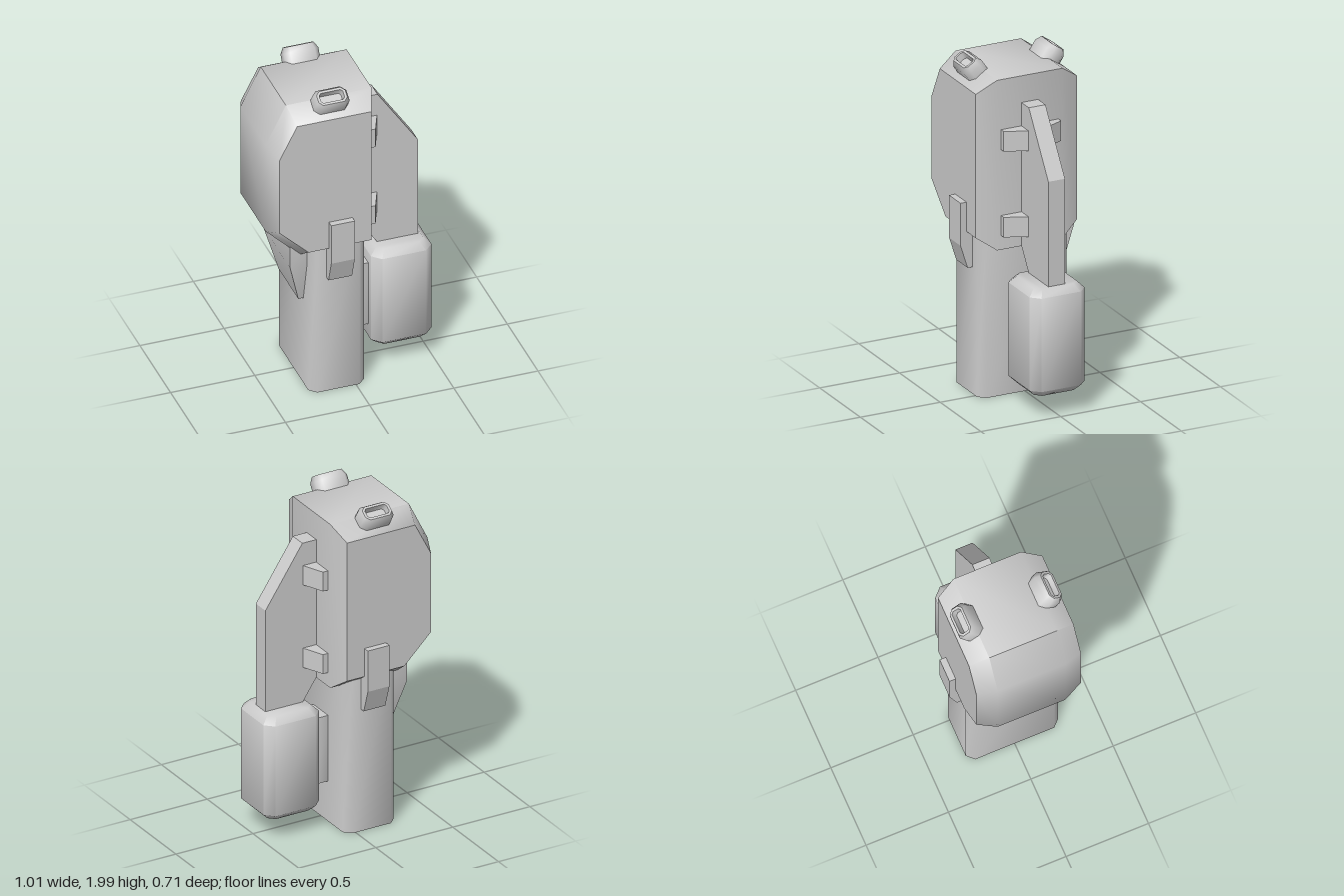
import * as THREE from 'three';
import { toCreasedNormals } from 'three/addons/utils/BufferGeometryUtils.js';

const material = new THREE.MeshStandardMaterial({ color: 0xcccccc });

// Skin between equal-sized counter-clockwise sections [[x, y], ...] at rising depths, with both ends capped
function loft(sections) {
  const pos = [];
  const n = sections[0].pts.length;
  const put = (k, i) => { const p = sections[k].pts[i % n]; pos.push(p[0], p[1], sections[k].at); };
  for (let k = 0; k < sections.length - 1; k++) {
    for (let i = 0; i < n; i++) {
      put(k, i); put(k, i + 1); put(k + 1, i + 1);
      put(k, i); put(k + 1, i + 1); put(k + 1, i);
    }
  }
  const last = sections.length - 1;
  for (let i = 1; i < n - 1; i++) {
    put(0, 0); put(0, i + 1); put(0, i);
    put(last, 0); put(last, i); put(last, i + 1);
  }
  const g = new THREE.BufferGeometry();
  g.setAttribute('position', new THREE.Float32BufferAttribute(pos, 3));
  return toCreasedNormals(g, 0.95);
}

// Rectangle with cut corners
function octagon(w, d, c) {
  const x = w / 2, y = d / 2;
  return [[x, -y + c], [x, y - c], [x - c, y], [-x + c, y], [-x, y - c], [-x, -y + c], [-x + c, -y], [x - c, -y]];
}

// Upright loft of octagons: rows are [height, width, depth, corner]
function tower(rows) {
  return loft(rows.map(([at, w, d, c]) => ({ at, pts: octagon(w, d, c) }))).rotateX(-Math.PI / 2);
}

// Flat profile extruded symmetrically along z
function slab(pts, depth) {
  const shape = new THREE.Shape(pts.map(p => new THREE.Vector2(p[0], p[1])));
  return new THREE.ExtrudeGeometry(shape, { depth, bevelEnabled: false }).translate(0, 0, -depth / 2);
}

export function createModel() {
  const model = new THREE.Group();
  const add = (name, geometry, parent = model) => {
    const mesh = new THREE.Mesh(geometry, material);
    mesh.name = name;
    parent.add(mesh);
    return mesh;
  };

  // Main housing: full profile in the middle, drawn in towards the front and back faces
  const profile = [[0.12, 0.9], [0.12, 1.92], [-0.39, 1.92], [-0.51, 1.68], [-0.51, 1.1], [-0.31, 0.9]];
  const inset = profile.map(([x, y]) => [-0.195 + (x + 0.195) * 0.865, 1.41 + (y - 1.41) * 0.845]);
  add('housing', loft([
    { at: -0.317, pts: inset }, { at: -0.205, pts: profile },
    { at: 0.205, pts: profile }, { at: 0.317, pts: inset },
  ]));

  // Lower barrel block with a hollow underside
  add('barrelBlock', tower([
    [0.14, 0.27, 0.5, 0.035], [0, 0.27, 0.5, 0.035], [0, 0.33, 0.56, 0.04], [0.99, 0.33, 0.56, 0.04],
  ])).position.x = -0.105;

  // Muzzle plate with six bores, each with a raised rim
  const plate = new THREE.Shape(octagon(0.272, 0.502, 0.035).map(p => new THREE.Vector2(p[0], p[1])));
  const muzzle = new THREE.Group();
  muzzle.name = 'muzzle';
  muzzle.position.set(-0.105, 0.02, 0);
  model.add(muzzle);
  for (const x of [-0.065, 0.065]) {
    for (const z of [-0.15, 0, 0.15]) {
      const hole = new THREE.Path();
      hole.absarc(x, z, 0.042, 0, Math.PI * 2, true);
      plate.holes.push(hole);
      const rim = add('boreRim', new THREE.TorusGeometry(0.046, 0.009, 8, 24).rotateX(Math.PI / 2), muzzle);
      rim.position.set(x, 0, z);
    }
  }
  add('muzzlePlate', new THREE.ExtrudeGeometry(plate, { depth: 0.04, bevelEnabled: false, curveSegments: 12 })
    .rotateX(-Math.PI / 2), muzzle);

  // Tapered brace between housing and barrel on the outer side
  add('brace', loft([
    { at: 0.57, pts: [[-0.25, -0.16], [-0.25, 0.16], [-0.3, 0.16], [-0.3, -0.16]] },
    { at: 0.83, pts: [[-0.25, -0.22], [-0.25, 0.22], [-0.37, 0.22], [-0.37, -0.22]] },
    { at: 1.02, pts: [[-0.25, -0.22], [-0.25, 0.22], [-0.37, 0.22], [-0.37, -0.22]] },
  ]).rotateX(-Math.PI / 2));

  // Lugs and sight blocks, mirrored front and back
  for (const side of [1, -1]) {
    const half = new THREE.Group();
    half.name = side > 0 ? 'frontFittings' : 'backFittings';
    half.rotation.y = side > 0 ? 0 : Math.PI;
    model.add(half);
    const x = side * -0.105;

    const lug = slab([[-0.25, 0.76], [-0.31, 0.76], [-0.355, 0.9], [-0.355, 1.155], [-0.25, 1.155]].reverse(), 0.14);
    add('lug', lug.rotateY(Math.PI / 2), half).position.x = x;

    const block = add('sightBlock', tower([
      [-0.03, 0.205, 0.125, 0.03], [0.065, 0.205, 0.125, 0.03], [0.1, 0.17, 0.088, 0.022],
      [0.1, 0.14, 0.06, 0.012], [0.06, 0.13, 0.05, 0.012],
    ]), half);
    block.position.set(side * -0.142, 1.885, 0.22);
    block.rotation.x = 0.59;
  }

  // Side fin
  add('fin', slab([[0.1, 0.9], [0.12, 0.9], [0.21, 0.765], [0.45, 0.765], [0.45, 1.4], [0.21, 1.76], [0.1, 1.76]], 0.104));

  // Clips holding the fin to the housing
  for (const y of [1.045, 1.56]) {
    const clip = slab([[0.1, -0.18], [0.152, -0.18], [0.208, -0.05], [0.208, 0.05], [0.152, 0.18], [0.1, 0.18]], 0.12);
    add('finClip', clip.rotateX(-Math.PI / 2)).position.y = y;
  }

  // Side tank and the spacer joining it to the barrel
  add('tank', tower([
    [0.13, 0.28, 0.265, 0.035], [0.17, 0.36, 0.345, 0.05], [0.73, 0.36, 0.345, 0.05], [0.77, 0.28, 0.265, 0.035],
  ])).position.x = 0.325;
  add('tankSpacer', tower([
    [0.25, 0.16, 0.16, 0.02], [0.66, 0.16, 0.16, 0.02],
  ])).position.x = 0.1;

  return model;
}
